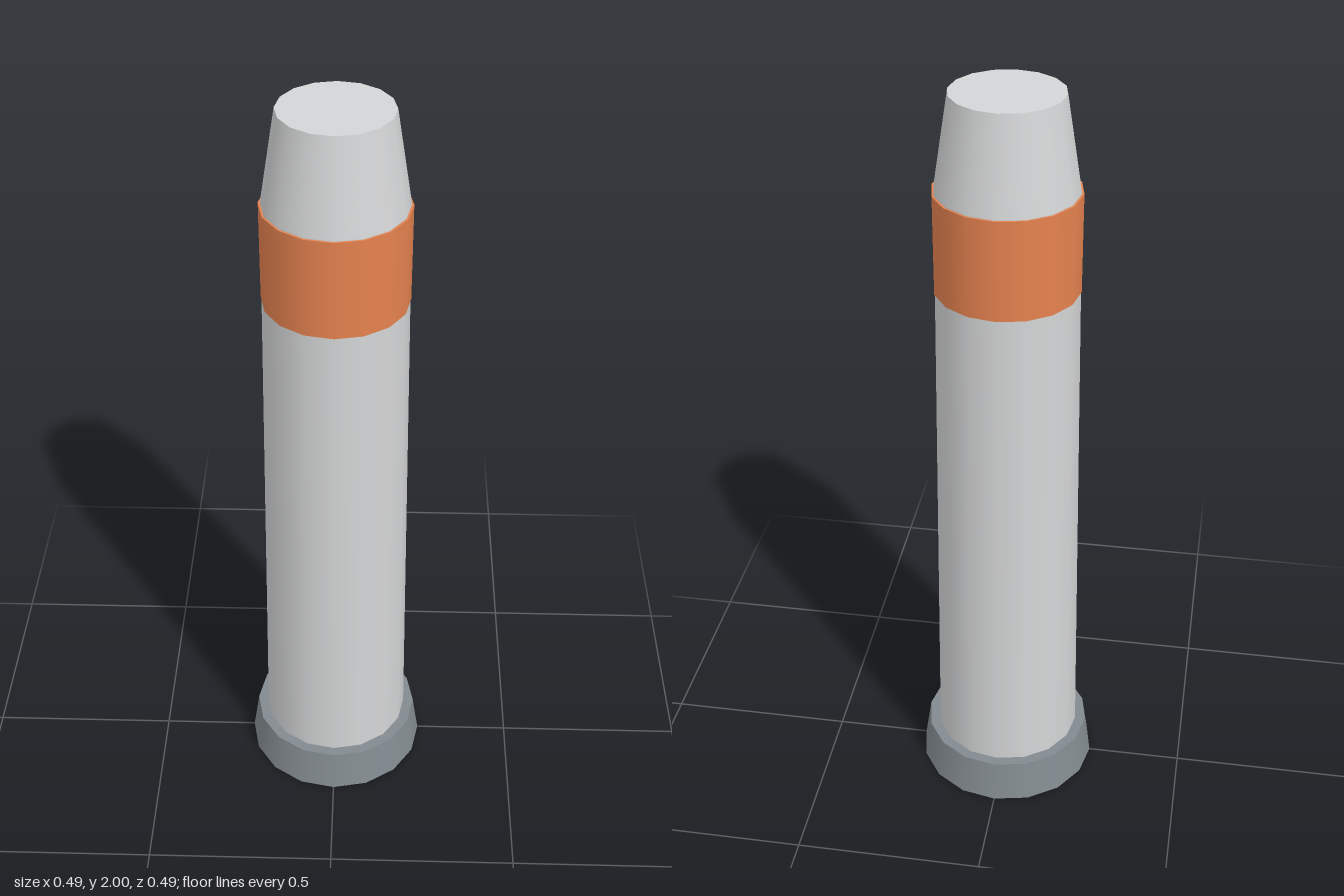
import * as THREE from 'three';

const SIDES = 16;

export function createModel() {
  const model = new THREE.Group();
  model.name = 'taperedPost';

  const paleGrey = new THREE.MeshStandardMaterial({ color: 0xd4d5d6 });
  paleGrey.name = 'paleGrey';
  const orange = new THREE.MeshStandardMaterial({ color: 0xe5824f });
  orange.name = 'orange';
  const slate = new THREE.MeshStandardMaterial({ color: 0x838b90, side: THREE.DoubleSide });
  slate.name = 'slateGrey';

  // Smooth 16-sided frustum standing between two heights
  function frustum(name, rBottom, rTop, y0, y1, material, open = false) {
    const geometry = new THREE.CylinderGeometry(rTop, rBottom, y1 - y0, SIDES, 1, open);
    const mesh = new THREE.Mesh(geometry, material);
    mesh.position.y = (y0 + y1) / 2;
    mesh.name = name;
    model.add(mesh);
    return mesh;
  }

  // Hollow foot: flared skirt, open underneath, closed by a plate on top
  frustum('footSkirt', 0.243, 0.226, 0, 0.115, slate, true);
  const plate = new THREE.Mesh(new THREE.CircleGeometry(0.226, SIDES), slate);
  plate.rotation.x = -Math.PI / 2;
  plate.position.y = 0.115;
  plate.name = 'footPlate';
  model.add(plate);

  // Slim column, open ended because both ends are covered
  frustum('column', 0.198, 0.178, 0.115, 1.76, paleGrey, true);

  // Raised collar band
  frustum('collarBand', 0.183, 0.183, 1.5, 1.758, orange);

  // Tapered cap with a flat top
  frustum('cap', 0.178, 0.14, 1.758, 2, paleGrey);

  return model;
}
